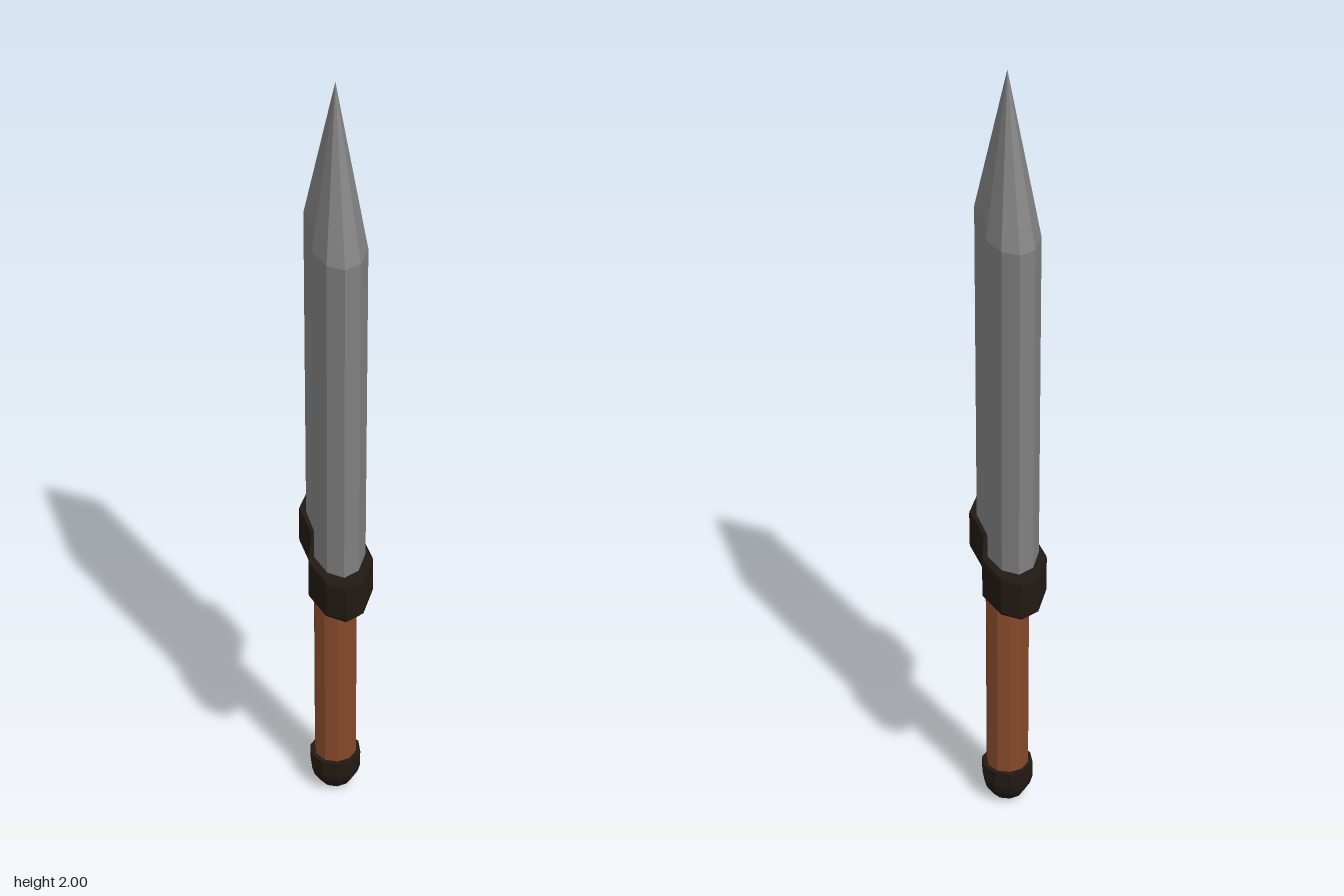
import * as THREE from 'three';

const material = (color) => new THREE.MeshStandardMaterial({ color, flatShading: true });

// Mirror a quarter outline of [x, z] points (from the +z edge to the waist) into a closed loop.
function mirrorOutline(quarter) {
  const half = [...quarter, ...quarter.slice(0, -1).reverse().map(([x, z]) => [x, -z])];
  return [...half, ...half.slice(1, -1).reverse().map(([x, z]) => [-x, z])];
}

// Stack scaled copies of an outline; levels are [y, scale], scale 0 closes to a point.
function loft(outline, levels) {
  const positions = [];
  const n = outline.length;
  const corner = (i, [y, s]) => [outline[i % n][0] * s, y, outline[i % n][1] * s];
  for (let k = 0; k < levels.length - 1; k++) {
    const low = levels[k], high = levels[k + 1];
    for (let i = 0; i < n; i++) {
      const a = corner(i, low), b = corner(i + 1, low);
      const c = corner(i + 1, high), d = corner(i, high);
      if (low[1] > 0) positions.push(...a, ...b, ...d);
      if (high[1] > 0) positions.push(...b, ...c, ...d);
    }
  }
  const geometry = new THREE.BufferGeometry();
  geometry.setAttribute('position', new THREE.Float32BufferAttribute(positions, 3));
  geometry.computeVertexNormals();
  return geometry;
}

// Ten-sided turned part from [radius, y] points, bottom to top.
function turned(profile) {
  const geometry = new THREE.LatheGeometry(profile.map(([r, y]) => new THREE.Vector2(r, y)), 10);
  const flat = geometry.toNonIndexed();
  flat.computeVertexNormals();
  return flat;
}

export function createModel() {
  const group = new THREE.Group();
  const add = (name, geometry, mat) => {
    const mesh = new THREE.Mesh(geometry, mat);
    mesh.name = name;
    group.add(mesh);
  };
  const steel = material(0x808080);
  const dark = material(0x221913);
  const wood = material(0x85492a);

  // Broad blade with a pinched middle, tapering to a point
  const bladeOutline = mirrorOutline([[0, 0.19], [0.038, 0.165], [0.063, 0.097], [0.05, 0]]);
  add('blade', loft(bladeOutline, [[0.75, 0], [0.75, 1], [1.64, 1], [2, 0]]), steel);

  // Crossguard following the blade section
  const guardOutline = mirrorOutline([[0, 0.235], [0.046, 0.205], [0.079, 0.118], [0.06, 0]]);
  add('guard', loft(guardOutline, [[0.705, 0], [0.705, 0.985], [0.712, 1], [0.8, 1], [0.807, 0.985], [0.807, 0]]), dark);

  // Grip and rounded pommel cap
  add('grip', turned([[0.055, 0.08], [0.055, 0.73]]), wood);
  add('pommel', turned([[0, 0], [0.042, 0.012], [0.06, 0.04], [0.067, 0.065], [0.067, 0.11], [0, 0.11]]), dark);

  return group;
}
